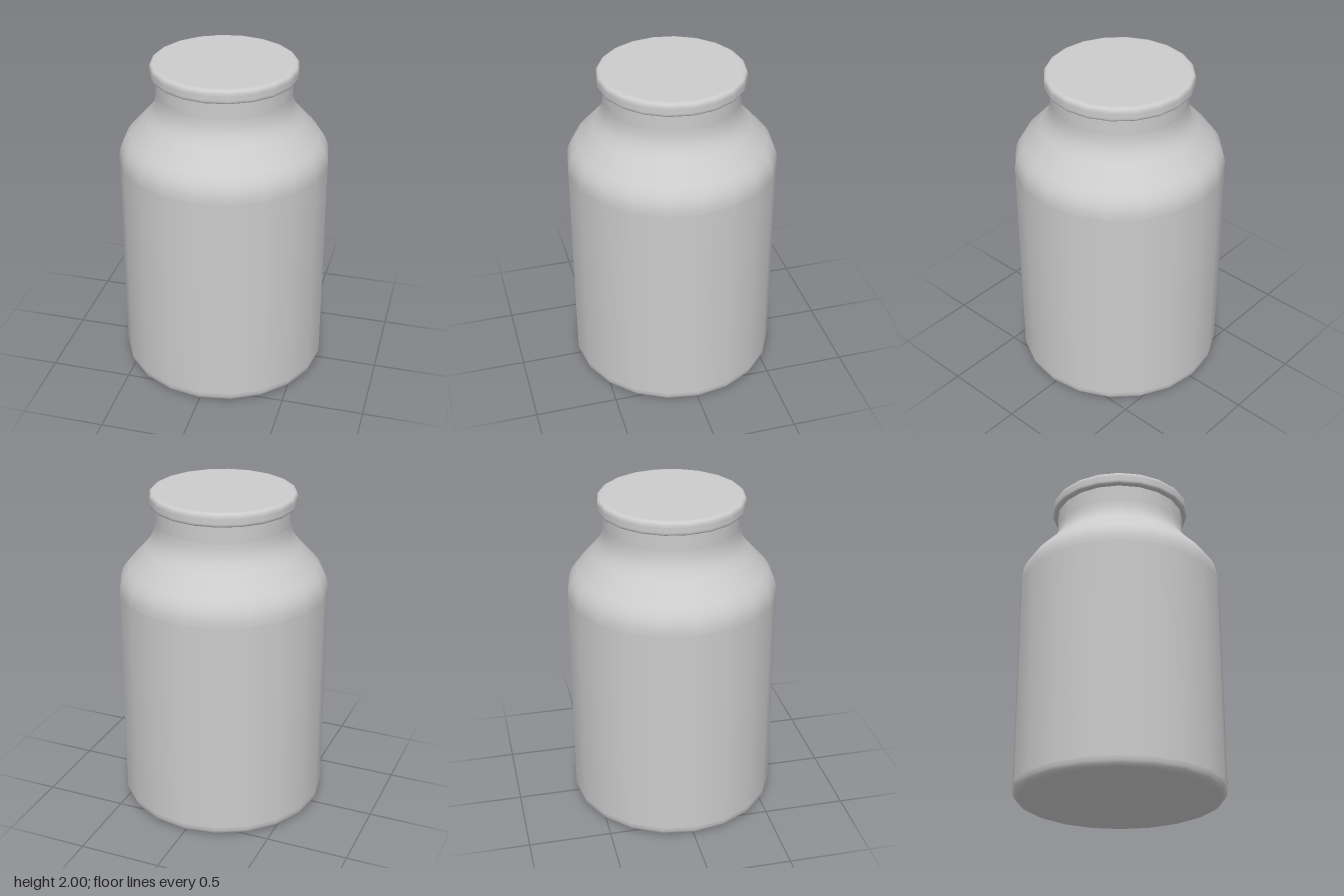
import * as THREE from 'three';

const SIDES = 20;

// Profile through corners [radius, y, fillet]; each fillet is a short rounded bend.
function roundedProfile(corners) {
  const v = corners.map(([r, y]) => new THREE.Vector2(r, y));
  const points = [];
  corners.forEach(([, , fillet], i) => {
    if (!fillet) return points.push(v[i]);
    const toPrev = v[i - 1].clone().sub(v[i]).normalize();
    const toNext = v[i + 1].clone().sub(v[i]).normalize();
    const start = v[i].clone().addScaledVector(toPrev, fillet);
    const end = v[i].clone().addScaledVector(toNext, fillet);
    // Support points keep the neighbouring straight runs evenly shaded.
    points.push(start.clone().addScaledVector(toPrev, 0.003));
    points.push(...new THREE.QuadraticBezierCurve(start, v[i], end).getPoints(5)
      .map((p) => new THREE.Vector2(p.x, p.y)));
    points.push(end.clone().addScaledVector(toNext, 0.003));
  });
  return points;
}

function turned(name, corners) {
  const mesh = new THREE.Mesh(
    new THREE.LatheGeometry(roundedProfile(corners), SIDES),
    new THREE.MeshStandardMaterial({ color: 0xcccccc }),
  );
  mesh.name = name;
  return mesh;
}

export function createModel() {
  const jar = new THREE.Group();
  jar.name = 'jar';

  // Base, straight wall, sloping shoulder and neck
  jar.add(turned('body', [
    [0, 0],
    [0.632, 0, 0.06],
    [0.632, 1.478, 0.08],
    [0.406, 1.727, 0.08],
    [0.406, 1.918],
  ]));

  // Closed rim with rounded edges, overhanging the neck
  jar.add(turned('rim', [
    [0.40, 1.916],
    [0.438, 1.916, 0.022],
    [0.438, 2, 0.03],
    [0, 2],
  ]));

  return jar;
}
